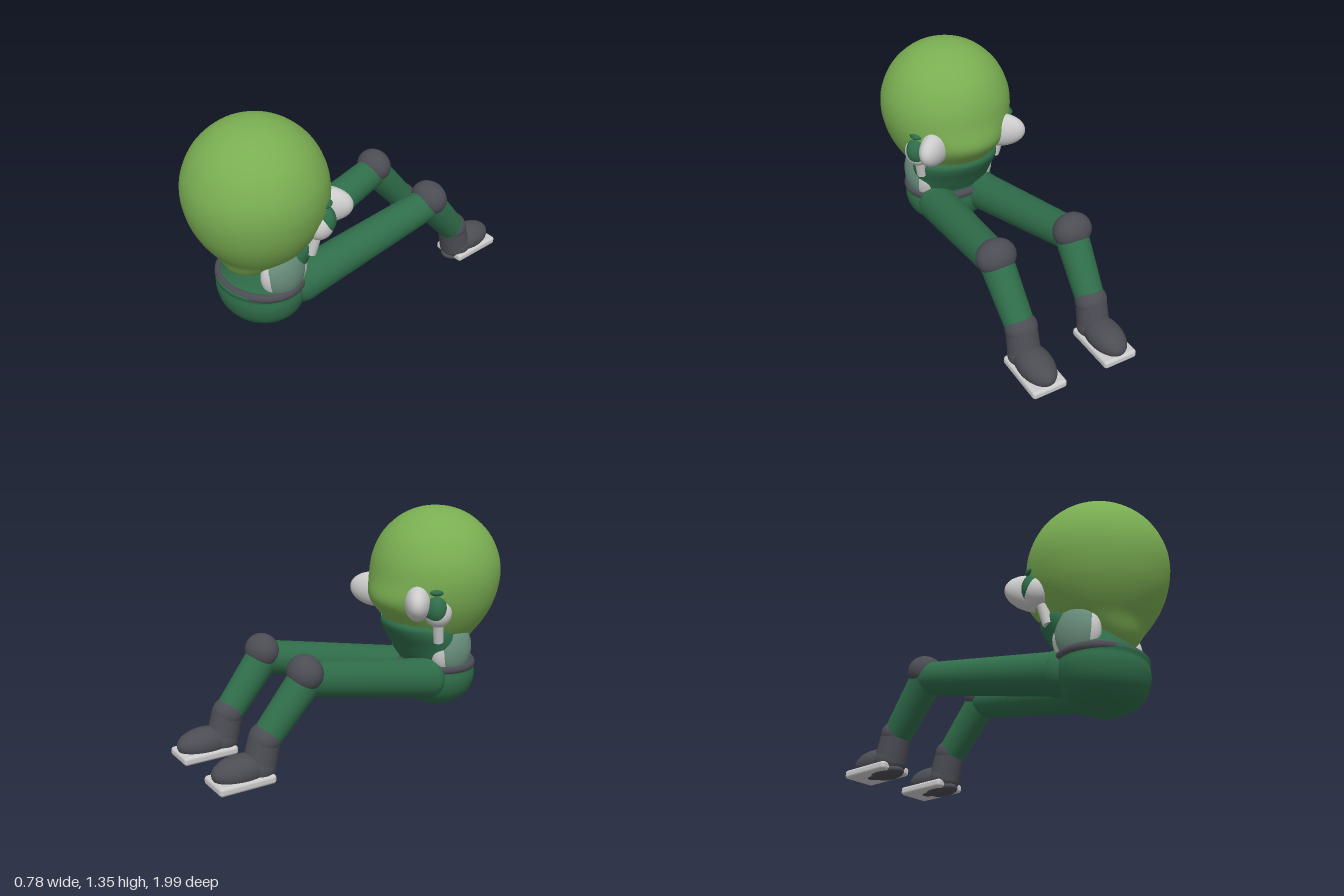
import * as THREE from 'three';
import { mergeVertices } from 'three/addons/utils/BufferGeometryUtils.js';
import { RoundedBoxGeometry } from 'three/addons/geometries/RoundedBoxGeometry.js';

const mat = (color) => new THREE.MeshStandardMaterial({ color, side: THREE.DoubleSide });
const SKIN = mat(0x7aae52), SUIT = mat(0x2f6d4a), DARK = mat(0x4c4d54);
const PALE = mat(0xcccccc), PATCH = mat(0x6a8f7d);
const V = (x, y, z) => new THREE.Vector3(x, y, z);

function add(group, name, geometry, material) {
  const mesh = new THREE.Mesh(geometry, material);
  mesh.name = name;
  group.add(mesh);
  return mesh;
}

// Ellipsoid with centre c and radii r, turned about y
function ball(group, name, material, c, r, turn = 0) {
  const m = add(group, name, new THREE.SphereGeometry(1, 36, 24), material);
  m.position.set(...c);
  m.scale.set(...r);
  m.rotation.y = turn;
  return m;
}

// Tapered round limb from a to b
function limb(group, name, material, a, b, ra, rb) {
  const m = add(group, name, new THREE.CylinderGeometry(rb, ra, a.distanceTo(b), 32, 4), material);
  m.position.copy(a).lerp(b, 0.5);
  m.quaternion.setFromUnitVectors(V(0, 1, 0), b.clone().sub(a).normalize());
  return m;
}

// Smooth turned body whose vertices are then moved by a rule
function turned(profile, rule) {
  const pts = new THREE.SplineCurve(profile.map(([r, y]) => new THREE.Vector2(r, y))).getPoints(48);
  pts.forEach((p) => { p.x = Math.max(p.x, 0); });
  let g = new THREE.LatheGeometry(pts, 64);
  g.deleteAttribute('uv');
  g.deleteAttribute('normal');
  const p = g.attributes.position;
  const v = V(0, 0, 0);
  for (let i = 0; i < p.count; i++) {
    rule(v.fromBufferAttribute(p, i));
    p.setXYZ(i, v.x, v.y, v.z);
  }
  g = mergeVertices(g, 1e-5);
  g.computeVertexNormals();
  return g;
}

function buildHead(root) {
  const head = new THREE.Group();
  head.name = 'head';
  root.add(head);
  // Egg skull with a swollen face and a chin set back
  const profile = [[0, 0.45], [0.1, 0.485], [0.2, 0.56], [0.28, 0.65], [0.34, 0.75], [0.375, 0.85],
    [0.39, 0.96], [0.374, 1.07], [0.315, 1.19], [0.216, 1.285], [0.107, 1.335], [0, 1.35]];
  add(head, 'skull', turned(profile, (v) => {
    const front = Math.max(0, -v.z / 0.39);
    v.z -= 0.055 * front * front * Math.exp(-(((v.y - 0.81) / 0.1) ** 2));
    v.z += 0.6 + 0.07 * THREE.MathUtils.smoothstep(0.62 - v.y, 0, 0.15);
  }), SKIN);
  for (const s of [-1, 1]) {
    const turn = s * 0.68;
    // Large almond eye with a thin highlight ring
    const eye = ball(head, 'eye', PALE, [s * 0.21, 0.84, 0.315], [0.16, 0.105, 0.075], turn);
    eye.rotation.set(0, turn, s * 0.08, 'YXZ');
    const ring = add(head, 'eyeHighlight', new THREE.TorusGeometry(0.04, 0.002, 6, 32), DARK);
    ring.scale.y = 0.5;
    ring.position.set(s * 0.245, 0.888, 0.255);
    ring.rotation.set(0.5, turn, 0, 'YXZ');
    // Ear piece: pale pad, green cap, small fin and stem
    ball(head, 'earPad', PALE, [s * 0.285, 0.785, 0.405], [0.075, 0.085, 0.08]);
    ball(head, 'earCap', SUIT, [s * 0.288, 0.81, 0.38], [0.075, 0.085, 0.062]);
    ball(head, 'earFin', SUIT, [s * 0.3, 0.91, 0.385], [0.035, 0.022, 0.05]);
    limb(head, 'earStem', PALE, V(s * 0.25, 0.6, 0.44), V(s * 0.28, 0.76, 0.41), 0.03, 0.03);
  }
}

function buildBody(root) {
  const body = new THREE.Group();
  body.name = 'body';
  root.add(body);
  // Rounded pelvis
  add(body, 'pelvis', turned([[0, 0.138], [0.12, 0.155], [0.2, 0.195], [0.25, 0.25],
    [0.273, 0.32], [0.27, 0.38], [0.25, 0.43], [0, 0.45]], (v) => {
    v.z = v.z * 0.87 + 0.602;
  }), SUIT);
  // Chest leaning towards the face
  add(body, 'chest', turned([[0, 0.38], [0.255, 0.385], [0.262, 0.45], [0.262, 0.54],
    [0.268, 0.62], [0.25, 0.67], [0.18, 0.7], [0, 0.71]], (v) => {
    v.z = v.z * 0.76 + 0.6 - 0.55 * Math.max(0, v.y - 0.43);
  }), SUIT);
  // Belt
  const belt = add(body, 'belt', new THREE.TorusGeometry(0.258, 0.026, 14, 64), DARK);
  belt.rotation.x = Math.PI / 2;
  belt.scale.y = 0.84;
  belt.position.set(0, 0.41, 0.6);
  // Side panels with a pale border
  for (const s of [-1, 1]) {
    ball(body, 'panelBorder', PALE, [s * 0.195, 0.52, 0.58], [0.078, 0.155, 0.145]);
    ball(body, 'sidePanel', PATCH, [s * 0.2, 0.525, 0.585], [0.085, 0.16, 0.13]);
  }
}

function buildLeg(root, s) {
  const leg = new THREE.Group();
  leg.name = s > 0 ? 'leftLeg' : 'rightLeg';
  root.add(leg);
  const x = s * 0.225;
  // Thigh, knee and shin
  ball(leg, 'hip', SUIT, [s * 0.155, 0.355, 0.43], [0.115, 0.125, 0.12]);
  limb(leg, 'thigh', SUIT, V(s * 0.155, 0.355, 0.43), V(s * 0.24, 0.535, -0.44), 0.118, 0.095);
  ball(leg, 'knee', DARK, [s * 0.242, 0.57, -0.45], [0.115, 0.1, 0.095]);
  limb(leg, 'shin', SUIT, V(s * 0.24, 0.53, -0.45), V(x, 0.24, -0.69), 0.095, 0.082);
  // Boot
  ball(leg, 'bootCuff', DARK, [x, 0.25, -0.69], [0.092, 0.085, 0.085]);
  limb(leg, 'bootShaft', DARK, V(x, 0.25, -0.69), V(x, 0.09, -0.73), 0.087, 0.092);
  ball(leg, 'heel', DARK, [x, 0.1, -0.73], [0.095, 0.09, 0.092]);
  ball(leg, 'toe', DARK, [x, 0.105, -0.835], [0.097, 0.085, 0.162]);
  // Flat sole with a domed underside
  const sole = add(leg, 'sole', new RoundedBoxGeometry(0.208, 0.05, 0.325, 4, 0.018), PALE);
  sole.position.set(x, 0.052, -0.837);
  ball(leg, 'soleDome', DARK, [x, 0.04, -0.75], [0.08, 0.038, 0.11]);
}

export function createModel() {
  const root = new THREE.Group();
  root.name = 'seatedFigure';
  buildHead(root);
  buildBody(root);
  for (const s of [-1, 1]) buildLeg(root, s);
  return root;
}
